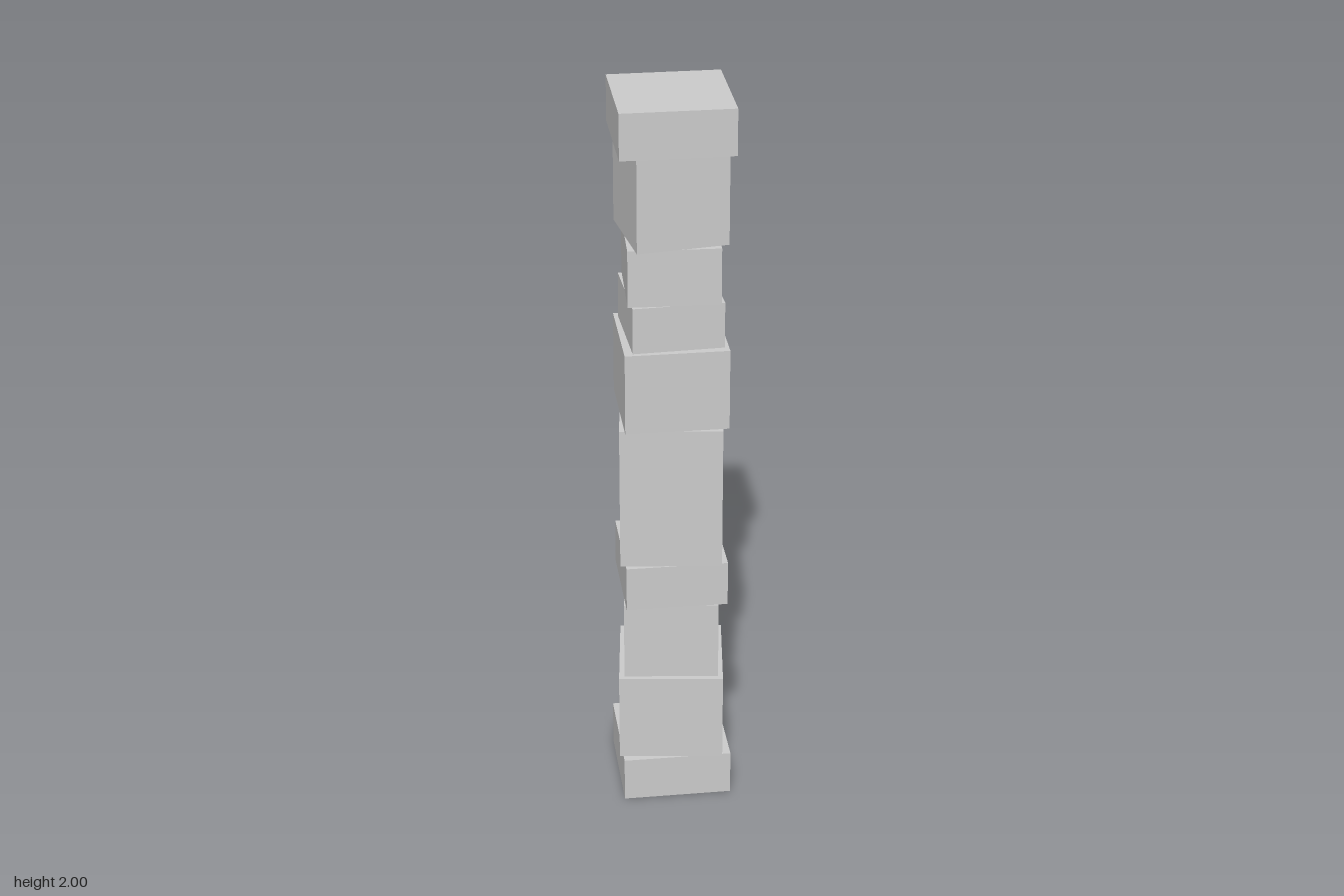
import * as THREE from 'three';

// Stacked blocks from the ground up: name, top height, side width, twist in degrees
const BLOCKS = [
  ['base', 0.125, 0.294, 0],
  ['lowerBlock', 0.375, 0.282, -7.1],
  ['lowerShaft', 0.597, 0.254, -6.8],
  ['lowerCollar', 0.723, 0.272, 0],
  ['middleShaft', 1.123, 0.27, -6.9],
  ['upperCollar', 1.345, 0.272, 0],
  ['lowerNeck', 1.47, 0.239, 2.6],
  ['upperNeck', 1.624, 0.239, -2.6],
  ['upperShaft', 1.877, 0.241, 7.8],
  ['capital', 2, 0.294, 0],
];

export function createModel() {
  const pillar = new THREE.Group();
  pillar.name = 'pillar';
  const stone = new THREE.MeshStandardMaterial({ color: 0xcccccc, flatShading: true });

  // Each block sits on the top of the one below
  let bottom = 0;
  for (const [name, top, width, twist] of BLOCKS) {
    const block = new THREE.Mesh(new THREE.BoxGeometry(width, top - bottom, width), stone);
    block.name = name;
    block.position.y = (bottom + top) / 2;
    block.rotation.y = THREE.MathUtils.degToRad(twist);
    pillar.add(block);
    bottom = top;
  }
  return pillar;
}
